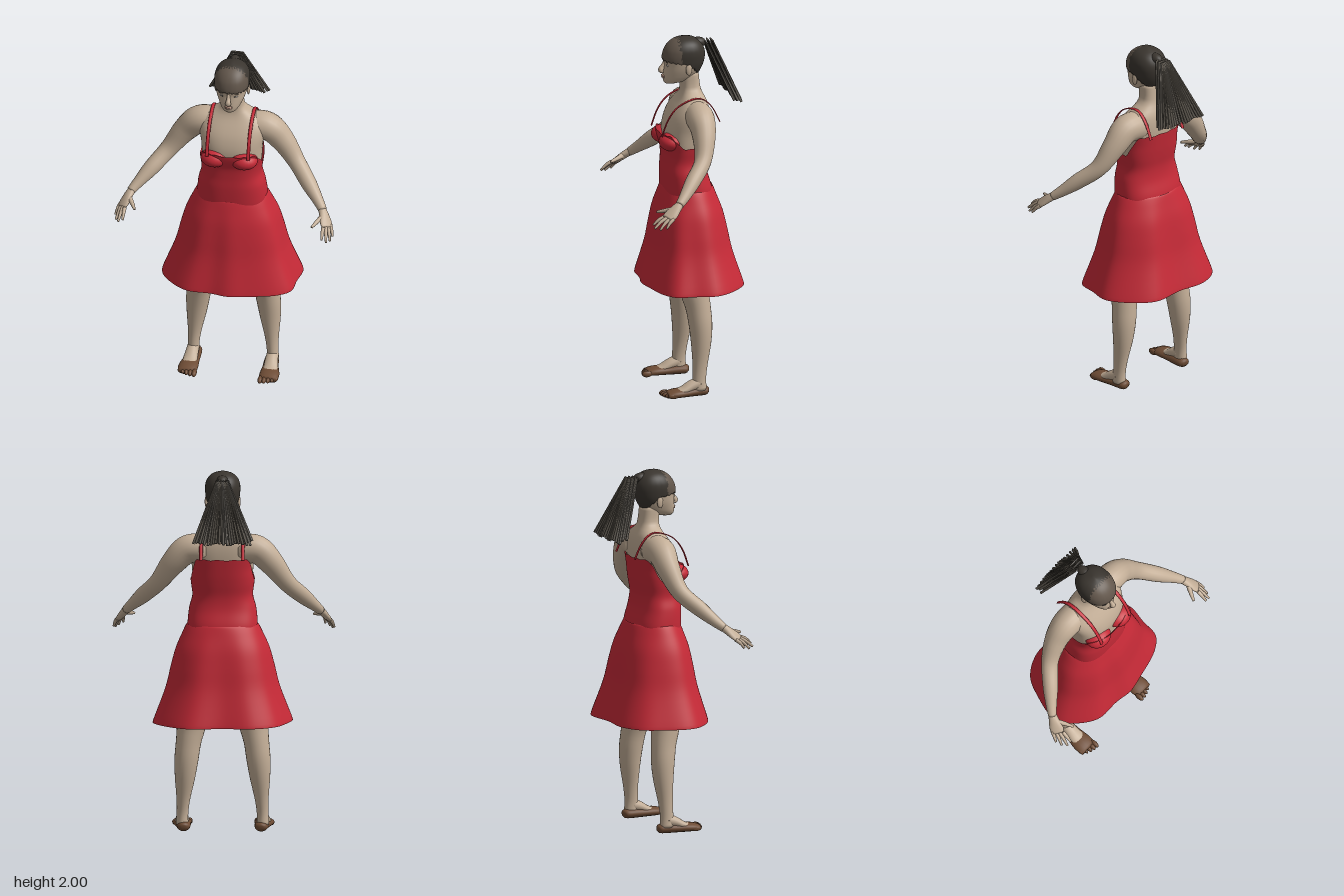
import * as THREE from 'three';

const V = (x, y, z) => new THREE.Vector3(x, y, z);
const lerp = THREE.MathUtils.lerp;
const paint = (name, color, open) => {
  const m = new THREE.MeshStandardMaterial({ color });
  m.name = name;
  if (open) m.side = THREE.DoubleSide;
  return m;
};

// Smooth value between rows; the first entry of each row is its key
function sample(rows, k) {
  let i = 0;
  while (i < rows.length - 2 && k > rows[i + 1][0]) i++;
  const a = rows[i], b = rows[i + 1], p = rows[Math.max(i - 1, 0)], q = rows[Math.min(i + 2, rows.length - 1)];
  const h = b[0] - a[0], t = THREE.MathUtils.clamp((k - a[0]) / h, 0, 1);
  const t2 = t * t, t3 = t2 * t;
  return a.slice(1).map((v, j) => {
    const c = j + 1;
    const m0 = (b[c] - p[c]) / (b[0] - p[0]) * h, m1 = (q[c] - a[c]) / (q[0] - a[0]) * h;
    return v * (2 * t3 - 3 * t2 + 1) + m0 * (t3 - 2 * t2 + t) + b[c] * (3 * t2 - 2 * t3) + m1 * (t3 - t2);
  });
}

// Skin over closed rings, with optional end caps
function loft(rings, caps) {
  const n = rings[0].length, pts = rings.flat(), idx = [];
  for (let i = 0; i < rings.length - 1; i++) {
    for (let j = 0; j < n; j++) {
      const a = i * n + j, b = i * n + (j + 1) % n;
      idx.push(a, b, b + n, a, b + n, a + n);
    }
  }
  if (caps) {
    const last = (rings.length - 1) * n;
    for (const base of [0, last]) {
      const c = V(0, 0, 0);
      for (let j = 0; j < n; j++) c.addScaledVector(pts[base + j], 1 / n);
      const ci = pts.push(c) - 1;
      for (let j = 0; j < n; j++) {
        const a = base + j, b = base + (j + 1) % n;
        if (base) idx.push(a, b, ci); else idx.push(b, a, ci);
      }
    }
  }
  const g = new THREE.BufferGeometry().setFromPoints(pts);
  g.setIndex(idx);
  g.computeVertexNormals();
  return g;
}

// Upright body shell; rows are [y, half width, front z, back z], edges vary with the angle
function shell(rows, lo, hi, steps, power, caps, n = 56) {
  const bend = v => Math.sign(v) * Math.abs(v) ** (2 / power);
  const rings = [];
  for (let i = 0; i <= steps; i++) {
    rings.push(Array.from({ length: n }, (_, j) => {
      const a = j / n * Math.PI * 2, y = lerp(lo(a), hi(a), i / steps);
      const [rx, zf, zb] = sample(rows, y);
      return V(rx * bend(Math.sin(a)), y, (zf + zb) / 2 + (zf - zb) / 2 * bend(Math.cos(a)));
    }));
  }
  return loft(rings, caps);
}

// Limb along points [x, y, z, half width along side, half thickness]
function limb(points, side, s = 1, n = 16, per = 4) {
  const rows = points.map((p, i) => [i, p[0] * s, ...p.slice(1)]);
  const end = points.length - 1, at = k => sample(rows, k), rings = [];
  const hint = V(side[0] * s, side[1], side[2]);
  for (let i = 0; i <= end * per; i++) {
    const k = i / per, [x, y, z, a, b] = at(k);
    const T = V(...at(Math.min(k + 0.05, end))).sub(V(...at(Math.max(k - 0.05, 0)))).normalize();
    const S = hint.clone().addScaledVector(T, -hint.dot(T)).normalize();
    const N = S.clone().cross(T);
    rings.push(Array.from({ length: n }, (_, j) => {
      const q = j / n * Math.PI * 2;
      return V(x, y, z).addScaledVector(S, a * Math.sin(q)).addScaledVector(N, b * Math.cos(q));
    }));
  }
  return loft(rings, true);
}

export function createModel() {
  const root = new THREE.Group();
  const skin = paint('skin', 0xc3ae97), red = paint('red cloth', 0xc62a37, true);
  const hair = paint('dark hair', 0x3a352f), frontHair = paint('front hair', 0x62564b);
  const strandPaint = paint('ponytail hair', 0x5b554c), shoe = paint('brown shoe', 0x6e4c35);
  const lip = paint('lip', 0xb08c7a), white = paint('eye white', 0xcfc6bb);
  const add = (name, geo, mat) => {
    const m = new THREE.Mesh(geo, mat);
    m.name = name;
    root.add(m);
    return m;
  };
  const blob = (name, mat, x, y, z, rx, ry, rz) =>
    add(name, new THREE.SphereGeometry(1, 24, 16).scale(rx, ry, rz).translate(x, y, z), mat);
  const level = y => () => y;

  // Torso and neck
  add('torso', shell([
    [1.0, .18, .10, -.14], [1.15, .18, .105, -.13], [1.24, .175, .11, -.115], [1.31, .158, .107, -.11],
    [1.4, .165, .11, -.122], [1.48, .17, .11, -.13], [1.55, .182, .09, -.135], [1.6, .18, .062, -.133],
    [1.64, .15, .035, -.125], [1.668, .105, .02, -.112], [1.7, .066, .013, -.098], [1.8, .058, .02, -.085],
  ], level(1), level(1.8), 40, 2.5, true), skin);

  // Head
  const headRows = [
    [1.738, .022, .098, .04], [1.746, .038, .107, 0], [1.765, .055, .112, -.05], [1.79, .068, .112, -.08],
    [1.82, .08, .109, -.098], [1.85, .088, .107, -.11], [1.88, .092, .112, -.117], [1.91, .093, .107, -.118],
    [1.94, .088, .094, -.11], [1.97, .071, .068, -.09], [1.99, .043, .035, -.06], [2, .006, 0, -.025],
  ];
  add('head', shell(headRows, level(1.738), level(1.96), 30, 2.2, true), skin);
  add('nose', limb([[0, 1.862, .103, .008, .007], [0, 1.835, .115, .011, .012],
    [0, 1.815, .125, .016, .015], [0, 1.802, .116, .014, .008]], [1, 0, 0]), skin);
  blob('upperLip', lip, 0, 1.784, .109, .022, .005, .013);
  blob('lowerLip', lip, 0, 1.775, .109, .019, .006, .012);
  for (const s of [1, -1]) {
    blob('eye', white, s * .036, 1.848, .096, .014, .006, .007);
    blob('iris', hair, s * .036, 1.848, .1, .005, .005, .004);
    blob('eyebrow', frontHair, s * .037, 1.867, .1, .017, .003, .005);
    blob('ear', skin, s * .09, 1.83, -.012, .009, .032, .018).rotation.x = 0;
  }

  // Hair cap, lighter towards the forehead
  const cap = shell(headRows.map(([y, a, f, b]) => [y, a + .004, f + .004, b - .004]),
    a => 1.86 + (Math.cos(a) > 0 ? .015 : .08) * Math.cos(a) + .004 * Math.sin(23 * a), level(2), 22, 2.2, true, 72);
  const parts = [[], []], ix = cap.index.array, pos = cap.attributes.position;
  for (let i = 0; i < ix.length; i += 3) {
    const tri = [ix[i], ix[i + 1], ix[i + 2]];
    const z = tri.reduce((t, v) => t + pos.getZ(v) / 3, 0), x = pos.getX(tri[0]);
    parts[z > .032 + .008 * Math.sin(x * 400) ? 1 : 0].push(...tri);
  }
  cap.setIndex(parts.flat());
  cap.addGroup(0, parts[0].length, 0);
  cap.addGroup(parts[0].length, parts[1].length, 1);
  add('hairCap', cap, [hair, frontHair]);
  blob('hairKnot', hair, 0, 1.958, -.085, .032, .03, .045);

  // Ponytail fan of straight strands in three layers
  const tail = new THREE.Group();
  tail.name = 'ponytail';
  root.add(tail);
  for (let layer = 0; layer < 3; layer++) {
    for (let i = 0; i < 18; i++) {
      const u = (i + layer / 3) / 17.7 * 2 - 1, jit = Math.sin(i * 7.3 + layer * 2.1), d = layer / 2;
      const a = V(u * .032, 1.968, -.122 - .042 * d);
      const b = V(u * .16 - .008 + jit * .005, 1.655 - .015 * d + jit * .006, -.268 - .037 * d + .012 * u * u);
      const dir = b.clone().sub(a);
      const m = new THREE.Mesh(new THREE.CylinderGeometry(.0075, .004, dir.length(), 5), strandPaint);
      m.name = 'strand';
      m.position.copy(a).add(b).multiplyScalar(.5);
      m.quaternion.setFromUnitVectors(V(0, 1, 0), dir.normalize());
      tail.add(m);
    }
  }

  // Bodice with a low front, lower armholes and a high back
  const topEdge = a => {
    const c = Math.cos(a), w = THREE.MathUtils.smoothstep(Math.abs(c), .15, .75);
    return 1.4 + w * (c > 0 ? .07 : .125) + .003 * Math.sin(17 * a);
  };
  add('bodice', shell([
    [1.1, .19, .116, -.15], [1.15, .193, .119, -.15], [1.24, .184, .12, -.125], [1.31, .167, .117, -.12],
    [1.38, .174, .12, -.13], [1.42, .178, .135, -.136], [1.47, .178, .143, -.142], [1.54, .185, .13, -.15],
  ], level(1.1), topEdge, 28, 2.5, false, 72), red);

  // Skirt flaring from the waist ellipse to a wavy hem
  const hem = new THREE.CatmullRomCurve3([
    [.02, .24], [.12, .222], [.28, .18], [.35, .125], [.365, .02], [.38, -.1], [.31, -.21], [.18, -.3],
    [0, -.283], [-.17, -.288], [-.29, -.225], [-.35, -.11], [-.384, .02], [-.36, .1], [-.225, .215], [-.08, .225],
  ].map(([x, z]) => V(x, 0, z)), true).getPoints(96).slice(0, 96);
  // Rows: height, flare, scale
  const flare = [[0, .615, 1, .965], [1, .61, 1, .99], [2, .63, .975, 1], [3, .8, .63, 1], [4, .92, .47, 1],
    [5, 1.02, .32, 1], [6, 1.1, .13, 1], [7, 1.145, .01, 1], [8, 1.155, 0, .97]];
  const skirtRings = [];
  for (let k = 0; k <= 8; k += .25) {
    const [y, f, sc] = sample(flare, k);
    skirtRings.push(hem.map(h => {
      const a = Math.atan2(h.x / .38, (h.z + .03) / .27);
      return V(lerp(.2 * Math.sin(a), h.x, f) * sc, y, lerp(-.02 + .142 * Math.cos(a), h.z, f) * sc);
    }));
  }
  add('skirt', loft(skirtRings), red);

  // Paired parts
  const across = [.55, -.1, -.8];
  for (const s of [1, -1]) {
    blob('cup', red, s * .083, 1.425, .088, .076, .05, .068);
    add('strap', limb([[.115, 1.465, .148], [.115, 1.56, .112], [.115, 1.63, .055], [.115, 1.667, -.03],
      [.115, 1.66, -.09], [.115, 1.61, -.14], [.115, 1.53, -.18]].map(p => [...p, .01, .003]), [1, 0, 0], s, 8), red);

    add('arm', limb([[.09, 1.57, -.05, .08, .085], [.19, 1.57, -.052, .078, .08], [.27, 1.495, -.05, .064, .068],
      [.355, 1.38, -.02, .047, .05], [.44, 1.293, .06, .042, .044], [.5, 1.232, .12, .031, .031],
      [.535, 1.195, .16, .023, .024]], [0, 0, 1], s, 20, 6), skin);
    add('palm', limb([[.53, 1.2, .155, .022, .022], [.545, 1.18, .18, .029, .02], [.56, 1.155, .21, .038, .016],
      [.572, 1.135, .235, .036, .011]], across, s), skin);
    [[.555, 1.1, .313], [.58, 1.086, .312], [.597, 1.08, .285], [.606, 1.088, .25]].forEach((tip, i) => {
      const k = -.03 + .02 * i;
      const base = [.57 + across[0] * k, 1.138 + across[1] * k, .23 + across[2] * k];
      const mid = base.map((v, j) => (v + tip[j]) / 2 + (j === 1 ? .006 : 0));
      add('finger', limb([[...base, .011, .011], [...mid, .0095, .0095], [...tip, .006, .006]], across, s, 10), skin);
    });
    add('thumb', limb([[.545, 1.178, .185, .016, .015], [.516, 1.166, .235, .012, .012],
      [.494, 1.155, .278, .007, .007]], across, s, 10), skin);

    add('leg', limb([[.222, .035, -.035, .034, .042], [.22, .1, -.036, .032, .038], [.215, .18, -.042, .038, .042],
      [.206, .3, -.05, .056, .056], [.198, .4, -.049, .066, .065], [.186, .5, -.038, .07, .07],
      [.168, .61, -.02, .083, .082], [.145, .8, -.02, .095, .1], [.11, 1, -.02, .105, .11]], [1, 0, 0], s, 24), skin);
    add('instep', limb([[.221, .075, -.04, .032, .035], [.222, .06, .01, .036, .03], [.225, .038, .06, .04, .022],
      [.226, .03, .11, .035, .013]], [1, 0, 0], s), skin);
    add('shoe', limb([[.212, .025, -.09, .014, .012], [.213, .027, -.075, .033, .025], [.215, .028, -.03, .04, .028],
      [.22, .026, .03, .045, .026], [.226, .025, .1, .055, .025], [.226, .02, .15, .05, .018]], [1, 0, 0], s), shoe);
    for (let i = 0; i < 5; i++) {
      blob('toe', shoe, s * (.184 + .0215 * i), .02, .153 - .004 * i * i / 2, .014 - .001 * i, .018 - .001 * i, .03);
    }
  }
  return root;
}
